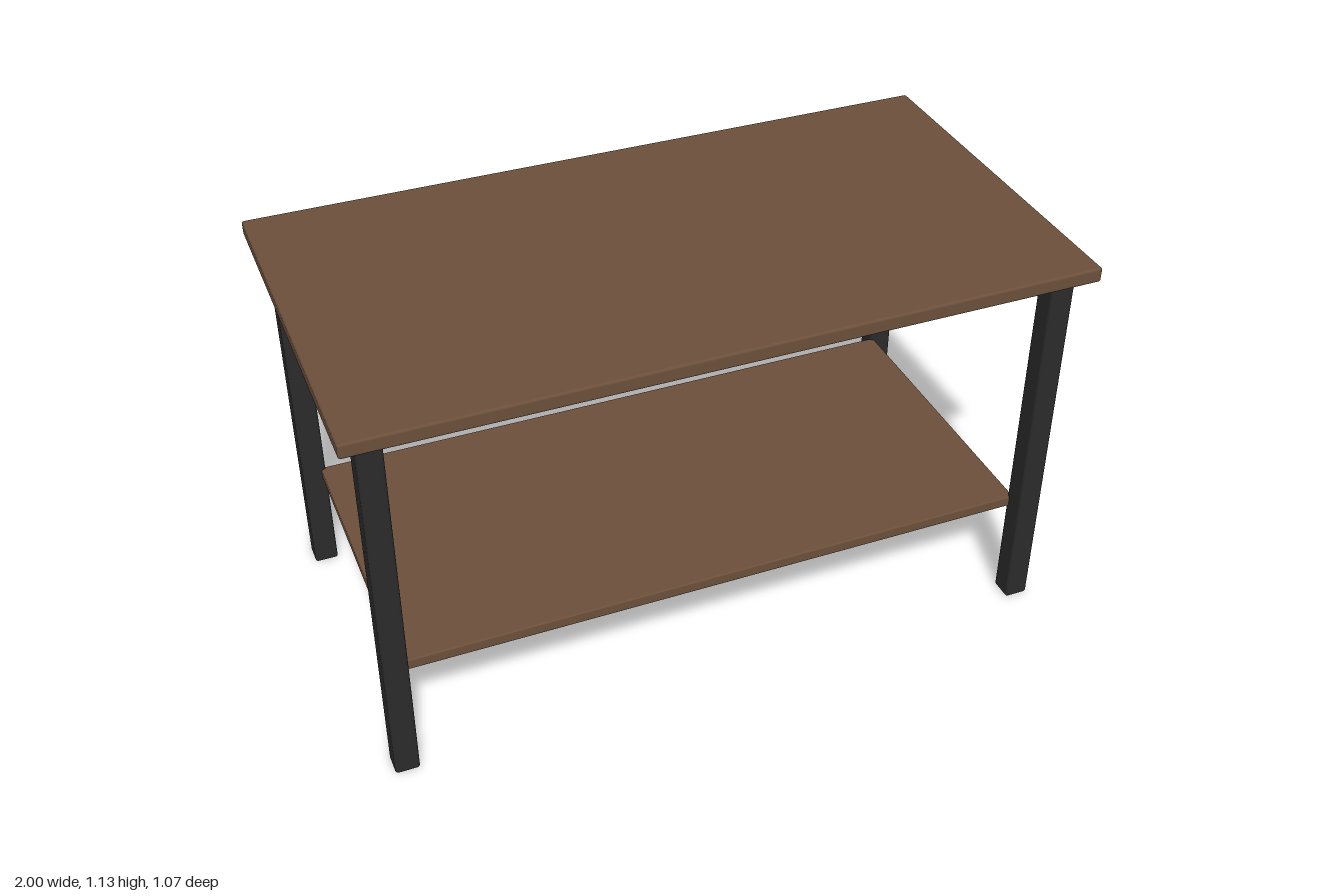
import * as THREE from 'three';
import { RoundedBoxGeometry } from 'three/addons/geometries/RoundedBoxGeometry.js';

const wood = new THREE.MeshStandardMaterial({ name: 'brown wood', color: 0x6b4f3a });
const metal = new THREE.MeshStandardMaterial({ name: 'black metal', color: 0x2a2a2a });

// Softly rounded board or post, placed by its bottom height
function block(name, material, [w, h, d], [x, bottom, z], radius) {
  const mesh = new THREE.Mesh(new RoundedBoxGeometry(w, h, d, 3, radius), material);
  mesh.name = name;
  mesh.position.set(x, bottom + h / 2, z);
  return mesh;
}

export function createModel() {
  const table = new THREE.Group();
  table.name = 'table';

  // Top and lower shelf
  table.add(block('tableTop', wood, [2, 0.042, 1.066], [0, 1.091, 0], 0.007));
  table.add(block('shelf', wood, [1.8, 0.033, 0.867], [0, 0.305, 0], 0.005));

  // Four square legs, the shelf corners let into them
  for (const [sx, side] of [[1, 'Left'], [-1, 'Right']]) {
    for (const [sz, end] of [[1, 'front'], [-1, 'back']]) {
      table.add(block(`${end}${side}Leg`, metal, [0.067, 1.091, 0.067], [sx * 0.921, 0, sz * 0.455], 0.008));
    }
  }
  return table;
}
